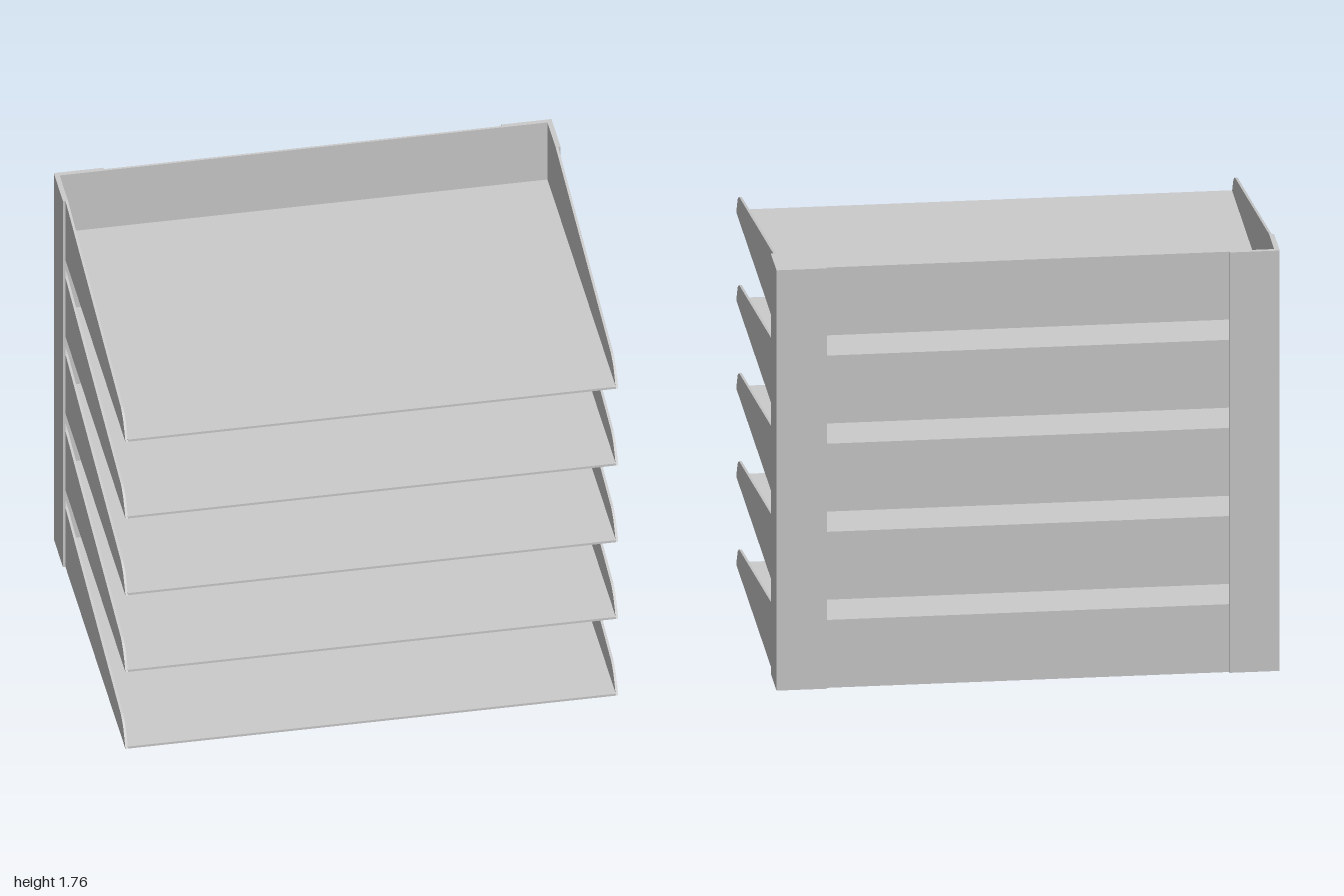
import * as THREE from 'three';

const TRAYS = 5, PITCH = 0.37, WALL_H = 0.285, T = 0.01;
const FRONT = 0.735, BACK = -0.725, HALF_W = 0.99, POST_FRONT = -0.54;
const TOP = PITCH * (TRAYS - 1) + WALL_H;

const material = new THREE.MeshStandardMaterial({ color: 0xcccccc, flatShading: true });

function addMesh(parent, name, geometry, x = 0, y = 0, z = 0) {
  const mesh = new THREE.Mesh(geometry, material);
  mesh.name = name;
  mesh.position.set(x, y, z);
  parent.add(mesh);
  return mesh;
}

// Sloping side wall: profile drawn as (z, y), extruded across x
function sideWallGeometry() {
  const profile = [
    [FRONT, 0], [0.711, 0.038], [0.685, 0.073], [0.66, 0.089], [0.635, 0.1],
    [POST_FRONT, WALL_H], [BACK, WALL_H], [BACK, 0],
  ].map(([z, y]) => new THREE.Vector2(-z, y));
  const geometry = new THREE.ExtrudeGeometry(new THREE.Shape(profile), { depth: T, bevelEnabled: false });
  return geometry.translate(0, 0, -T / 2).rotateY(Math.PI / 2);
}

// L-shaped corner post, drawn in plan for the given side and extruded upwards
function postGeometry(side) {
  const back = BACK - T;
  const plan = [
    [1, POST_FRONT], [1, back], [0.8, back], [0.8, BACK], [HALF_W, BACK], [HALF_W, POST_FRONT],
  ].map(([x, z]) => new THREE.Vector2(side * x, -z));
  const geometry = new THREE.ExtrudeGeometry(new THREE.Shape(plan), { depth: TOP, bevelEnabled: false });
  return geometry.rotateX(-Math.PI / 2);
}

function createTray() {
  const tray = new THREE.Group();
  const innerW = 2 * (HALF_W - T);
  // Floor and back wall fit between the two side walls
  addMesh(tray, 'trayFloor', new THREE.BoxGeometry(innerW, T, FRONT - BACK), 0, T / 2, (FRONT + BACK) / 2);
  addMesh(tray, 'trayBackWall', new THREE.BoxGeometry(innerW, WALL_H - T, T), 0, (WALL_H + T) / 2, BACK + T / 2);
  const wall = sideWallGeometry();
  addMesh(tray, 'traySideLeft', wall, HALF_W - T / 2);
  addMesh(tray, 'traySideRight', wall, -HALF_W + T / 2);
  return tray;
}

export function createModel() {
  const model = new THREE.Group();
  model.name = 'letterTrayStack';

  // Stack of identical trays
  for (let i = 0; i < TRAYS; i++) {
    const tray = createTray();
    tray.name = `tray${i + 1}`;
    tray.position.y = i * PITCH;
    model.add(tray);
  }

  // Rear corner posts
  addMesh(model, 'cornerPostLeft', postGeometry(1));
  addMesh(model, 'cornerPostRight', postGeometry(-1));
  return model;
}
